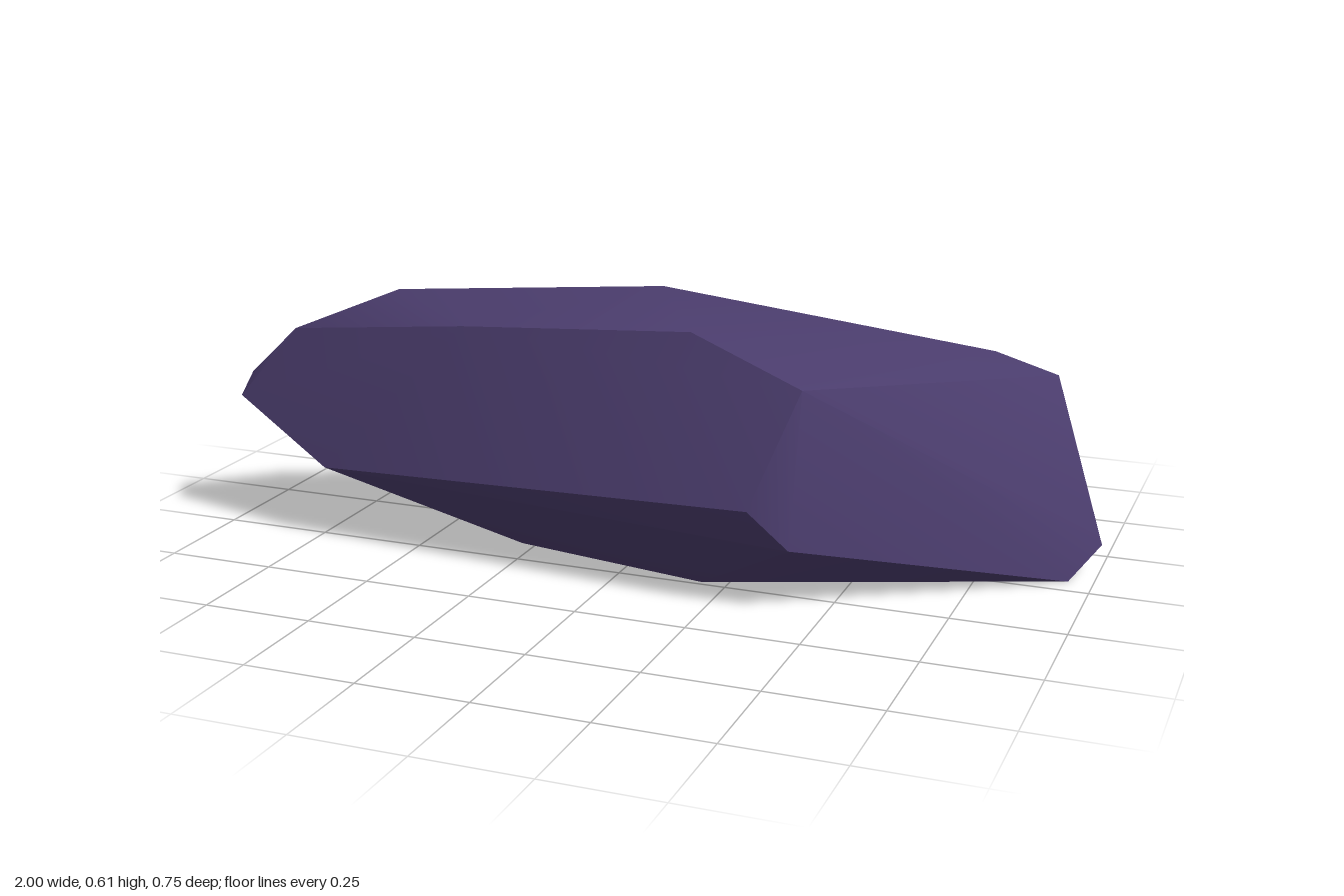
import * as THREE from 'three';
import { ConvexGeometry } from 'three/addons/geometries/ConvexGeometry.js';
import { toCreasedNormals } from 'three/addons/utils/BufferGeometryUtils.js';

// Corners of the rock, grouped by region; the hull supplies the faces.
const crown = [
  [0.02, 0.61, 0.025], [-0.66, 0.545, 0.01], [-0.86, 0.465, 0.155],
  [0.72, 0.457, -0.255], [0.86, 0.405, -0.29],
];
const frontSide = [
  [0.15, 0.555, 0.2], [-0.4, 0.52, 0.2], [0.42, 0.465, 0.255],
  [0.34, 0.225, 0.375], [0.425, 0.14, 0.35], [-0.73, 0.17, 0.272],
];
const leftEnd = [
  [1, 0.06, -0.155], [0.945, 0, -0.057], [0.95, 0.08, -0.27], [0.87, 0.275, -0.325],
];
const rightEnd = [
  [-1, 0.34, 0.13], [-0.99, 0.3, 0.2], [-0.9, 0.237, 0.2], [-0.9, 0.25, 0.09],
];
const backSide = [
  [0.54, 0.205, -0.377], [-0.07, 0.4, -0.285], [-0.48, 0.36, -0.205], [-0.68, 0.36, -0.085],
];
const underside = [
  [0.2, 0.01, 0.262], [-0.26, 0.02, 0.2], [0.5, 0.01, -0.335],
  [0.8, 0.02, -0.305], [0, 0.03, -0.23], [-0.45, 0.14, -0.08],
];

export function createModel() {
  const group = new THREE.Group();
  group.name = 'rock';

  const stone = new THREE.MeshStandardMaterial({ color: 0x4a3c6c });
  stone.name = 'purple stone';

  // Smooth across gentle bends, sharp along the strong ridges
  const points = [crown, frontSide, leftEnd, rightEnd, backSide, underside]
    .flat()
    .map((p) => new THREE.Vector3(...p));
  const boulder = new THREE.Mesh(toCreasedNormals(new ConvexGeometry(points), 0.65), stone);
  boulder.name = 'boulder';
  group.add(boulder);
  return group;
}
